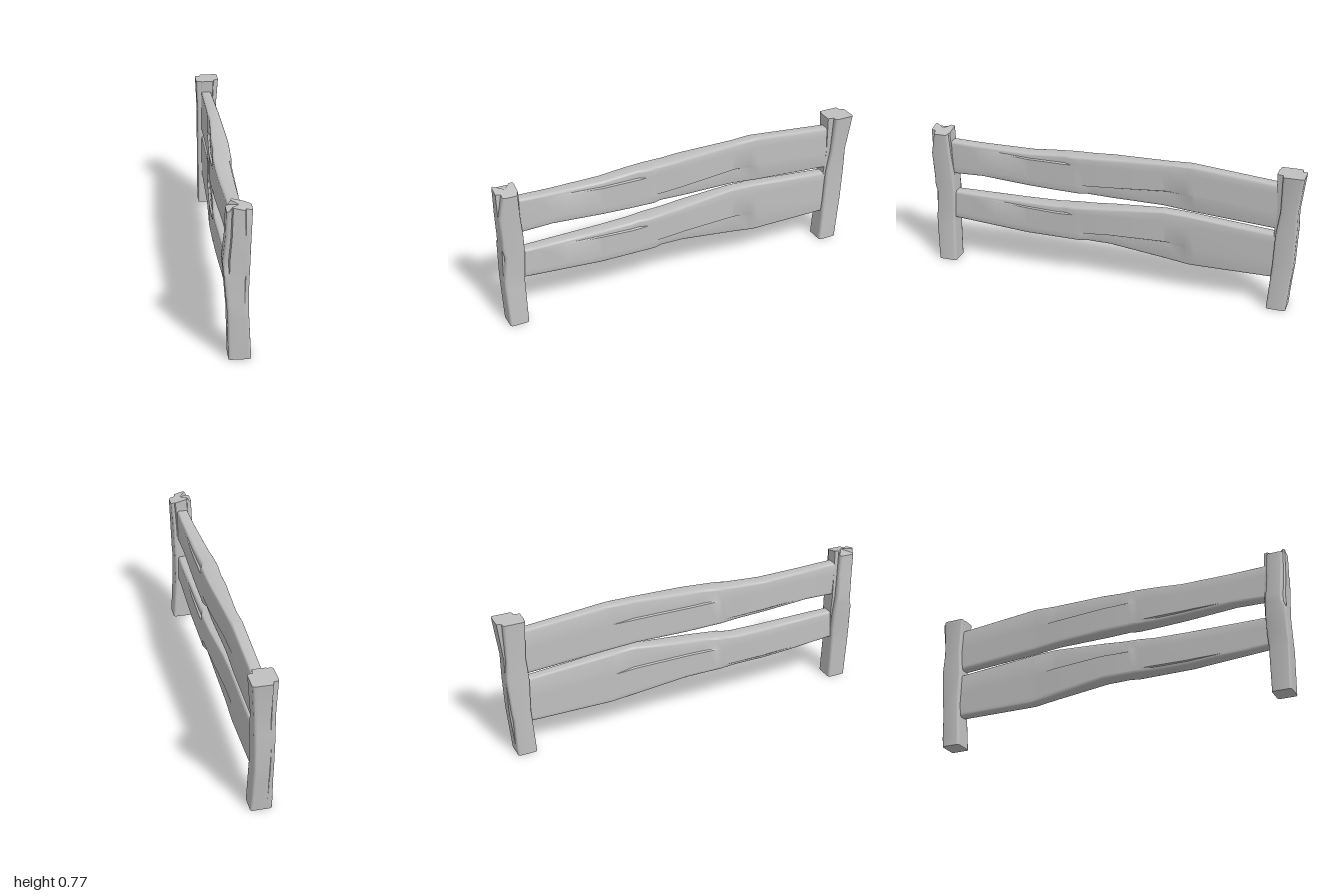
import * as THREE from 'three';
import { toCreasedNormals } from 'three/addons/utils/BufferGeometryUtils.js';

// Piecewise-linear lookup in a list of [t, value, value...] keys
function sample(keys, t) {
  if (t <= keys[0][0]) return keys[0].slice(1);
  for (let i = 1; i < keys.length; i++) {
    const p = keys[i - 1], q = keys[i];
    if (t <= q[0]) {
      const k = (t - p[0]) / (q[0] - p[0]);
      return p.slice(1).map((v, n) => v + (q[n + 1] - v) * k);
    }
  }
  return keys[keys.length - 1].slice(1);
}

// Rounded rectangle whose two broad faces can have a split-off lower or upper band
// far / near: [lowFraction, lowInset, highFraction, highInset]
function section([a0, a1, b0, b1], far, near) {
  const r = 0.012, e = 0.005, pts = [];
  const corner = (a, b, start) => {
    for (let i = 0; i < 4; i++) {
      const g = start + (i / 3) * Math.PI / 2;
      pts.push([a + r * Math.cos(g), b + r * Math.sin(g)]);
    }
  };
  const at = (f) => a0 + (a1 - a0) * f;
  const [nl, nli, nh, nhi] = near, [fl, fli, fh, fhi] = far;
  corner(a0 + r, b0 + nli + r, Math.PI);
  pts.push([at(nl) - e, b0 + nli], [at(nl), b0], [at(nh), b0], [at(nh) + e, b0 + nhi]);
  corner(a1 - r, b0 + nhi + r, -Math.PI / 2);
  corner(a1 - r, b1 - fhi - r, 0);
  pts.push([at(fh) + e, b1 - fhi], [at(fh), b1], [at(fl), b1], [at(fl) - e, b1 - fli]);
  corner(a0 + r, b1 - fli - r, Math.PI / 2);
  return pts;
}

// Skin the sections along t; place() turns (a, b, t) into x, y, z
function loft(body, far, near, place) {
  const t0 = body[0][0], t1 = body[body.length - 1][0];
  const ts = [...new Set([...body, ...far, ...near].map((k) => k[0]))]
    .filter((t) => t >= t0 && t <= t1).sort((p, q) => p - q);
  const pos = [], index = [];
  let n = 0;
  for (const t of ts) {
    const ring = section(sample(body, t), sample(far, t), sample(near, t));
    n = ring.length;
    ring.forEach(([a, b]) => pos.push(...place(a, b, t)));
  }
  const last = (ts.length - 1) * n;
  for (let i = 0; i < last; i += n) {
    for (let j = 0; j < n; j++) {
      const k = (j + 1) % n;
      index.push(i + n + j, i + n + k, i + k, i + n + j, i + k, i + j);
    }
  }
  // End caps
  [t0, t1].forEach((t, end) => {
    const [a0, a1, b0, b1] = sample(body, t), c = pos.length / 3, o = end * last;
    pos.push(...place((a0 + a1) / 2, (b0 + b1) / 2, t));
    for (let j = 0; j < n; j++) {
      const k = (j + 1) % n;
      if (end) index.push(c, o + k, o + j);
      else index.push(c, o + j, o + k);
    }
  });
  const geo = new THREE.BufferGeometry();
  geo.setAttribute('position', new THREE.Float32BufferAttribute(pos, 3));
  geo.setIndex(index);
  return toCreasedNormals(geo, 0.6);
}

export function createModel() {
  const fence = new THREE.Group();
  fence.name = 'fence';
  const wood = new THREE.MeshStandardMaterial({ color: 0xc0c0c0 });
  wood.name = 'greyWood';
  const add = (name, geo) => {
    const mesh = new THREE.Mesh(geo, wood);
    mesh.name = name;
    fence.add(mesh);
  };

  // Rails: z, bottom, top, then x extents; splits run along both faces
  const railFar = [
    [-0.45, 0.38, 0, 0.78, 0], [-0.3, 0.38, 0.008, 0.78, 0], [0.13, 0.25, 0.014, 0.78, 0],
    [0.17, 0.25, 0, 0.78, 0], [0.21, 0.25, 0, 0.78, 0], [0.25, 0.25, 0, 0.78, 0.012],
    [0.5, 0.25, 0, 0.84, 0.007], [0.78, 0.25, 0, 0.88, 0],
  ];
  const railNear = [
    [-0.4, 0.12, 0, 0.55, 0], [-0.3, 0.12, 0, 0.57, 0.01], [0.1, 0.12, 0, 0.64, 0.01],
    [0.2, 0.12, 0, 0.66, 0], [0.3, 0.12, 0.01, 0.66, 0], [0.65, 0.12, 0, 0.66, 0],
  ];
  const alongZ = (a, b, t) => [b, a, t];
  add('upperRail', loft([
    [-0.89, 0.445, 0.685, -0.03, 0.027], [-0.42, 0.478, 0.727, -0.033, 0.03],
    [-0.28, 0.49, 0.724, -0.04, 0.035], [0, 0.495, 0.715, -0.055, 0.044],
    [0.3, 0.5, 0.698, -0.053, 0.04], [0.45, 0.505, 0.688, -0.047, 0.038],
    [0.72, 0.52, 0.693, -0.035, 0.032], [0.91, 0.513, 0.7, -0.03, 0.03],
  ], railFar, railNear, alongZ));
  add('lowerRail', loft([
    [-0.89, 0.17, 0.413, -0.03, 0.027], [-0.42, 0.17, 0.452, -0.033, 0.03],
    [-0.29, 0.187, 0.46, -0.04, 0.035], [0, 0.225, 0.434, -0.055, 0.044],
    [0.3, 0.225, 0.406, -0.053, 0.04], [0.47, 0.225, 0.405, -0.047, 0.038],
    [0.91, 0.252, 0.41, -0.03, 0.03],
  ], railFar, railNear, alongZ));

  // Front post: y, x extents, z extents, with a slanted broken top
  add('frontPost', loft([
    [0, -0.045, 0.062, 0.89, 0.99], [0.25, -0.052, 0.048, 0.89, 0.998],
    [0.4, -0.064, 0.05, 0.88, 0.993], [0.5, -0.072, 0.053, 0.882, 0.992],
    [0.62, -0.06, 0.056, 0.888, 0.998], [0.75, -0.056, 0.064, 0.89, 1],
  ], [
    [0.22, 0.25, 0, 0.8, 0], [0.4, 0.25, 0, 0.8, 0.01], [0.44, 0.25, 0, 0.8, 0],
    [0.47, 0.25, 0.012, 0.8, 0], [0.63, 0.25, 0.01, 0.78, 0], [0.75, 0.25, 0.008, 0.7, 0.025],
  ], [
    [0.3, 0.25, 0, 0.8, 0], [0.5, 0.25, 0.012, 0.8, 0], [0.75, 0.25, 0.02, 0.8, 0.008],
  ], (a, b, t) => {
    const lift = a < -0.035 ? -0.003 : 0.02 - (a + 0.03) * 0.26;
    return [a, t > 0.74 ? t + lift : t, b];
  }));

  // Back post: flared flat top, leaning foot
  add('backPost', loft([
    [0, -0.053, 0.055, -0.948, -0.846], [0.25, -0.053, 0.048, -0.972, -0.864],
    [0.42, -0.052, 0.05, -0.978, -0.86], [0.55, -0.052, 0.054, -0.977, -0.87],
    [0.75, -0.06, 0.07, -1, -0.86],
  ], [
    [0.25, 0.25, 0, 0.76, 0], [0.45, 0.25, 0, 0.76, 0.012], [0.75, 0.25, 0.004, 0.76, 0.032],
  ], [
    [0.05, 0.25, 0, 0.8, 0], [0.2, 0.25, 0.01, 0.8, 0], [0.45, 0.25, 0, 0.8, 0],
    [0.55, 0.25, 0.006, 0.8, 0], [0.75, 0.25, 0.024, 0.8, 0],
  ], (a, b, t) => [a, t, b]));

  return fence;
}
